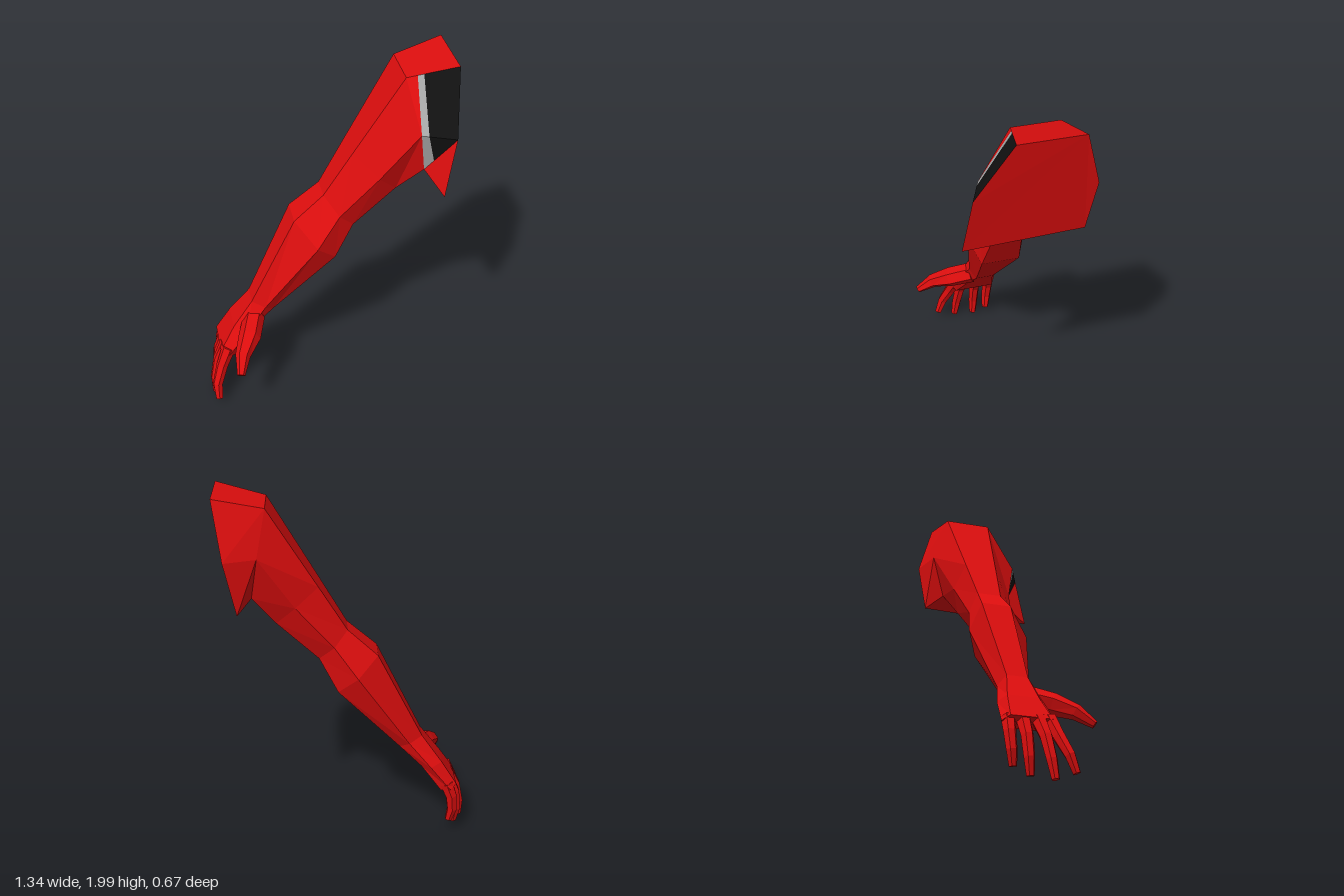
import * as THREE from 'three';

const mat = (name, color) => {
  const m = new THREE.MeshStandardMaterial({ color });
  m.name = name;
  return m;
};

// Faceted mesh from a list of convex polygons (corners counter-clockwise)
function polyMesh(name, polys, material) {
  const pos = [];
  for (const p of polys)
    for (let i = 1; i < p.length - 1; i++) pos.push(...p[0], ...p[i], ...p[i + 1]);
  const g = new THREE.BufferGeometry();
  g.setAttribute('position', new THREE.Float32BufferAttribute(pos, 3));
  g.computeVertexNormals();
  const mesh = new THREE.Mesh(g, material);
  mesh.name = name;
  return mesh;
}

// Skin a row of rings; skip(segment, side) leaves a panel open
function loft(rings, { start = false, end = false, skip = () => false } = {}) {
  const polys = [], n = rings[0].length;
  for (let s = 0; s < rings.length - 1; s++)
    for (let i = 0; i < n; i++) {
      if (skip(s, i)) continue;
      const a = rings[s], b = rings[s + 1], j = (i + 1) % n;
      polys.push([a[i], b[i], b[j], a[j]]);
    }
  if (start) polys.push(rings[0]);
  if (end) polys.push([...rings[rings.length - 1]].reverse());
  return polys;
}

// Six-sided limb section: [x, y, zFront, zBack] for its top, middle and bottom
const hex = (t, m, b) => [
  [t[0], t[1], t[3]], [t[0], t[1], t[2]], [m[0], m[1], m[2]],
  [b[0], b[1], b[2]], [b[0], b[1], b[3]], [m[0], m[1], m[3]],
];

// Six-sided rings along a path; each point is [x, y, z, halfWidth, halfDepth]
function digit(path, side) {
  const P = path.map(p => new THREE.Vector3(p[0], p[1], p[2]));
  const rings = path.map((p, k) => {
    const t = P[Math.min(k + 1, P.length - 1)].clone().sub(P[Math.max(k - 1, 0)]).normalize();
    const u = side.clone().addScaledVector(t, -side.dot(t)).normalize();
    const v = u.clone().cross(t);
    return Array.from({ length: 6 }, (_, i) => {
      const a = (i * Math.PI) / 3;
      return P[k].clone().addScaledVector(u, Math.cos(a) * p[3])
        .addScaledVector(v, Math.sin(a) * p[4]).toArray();
    });
  });
  return loft(rings, { start: true, end: true });
}

const lerp = (a, b, f) => a.map((v, i) => v + (b[i] - v) * f);

export function createModel() {
  const red = mat('red', 0xdd0e0e);
  const grey = mat('grey', 0xa8a8a8);
  const black = mat('black', 0x111111);
  const arm = new THREE.Group();
  arm.name = 'arm';

  // Limb sections from shoulder to knuckles
  const shoulder = hex([0.67, 2.0, 0.09, -0.25], [0.62, 1.7, 0.28, -0.335], [0.56, 1.39, 0.32, -0.3]);
  shoulder[4][1] = 1.41;
  const armpit = hex([0.41, 1.94, 0.04, -0.21], [0.455, 1.7, 0.21, -0.28], [0.49, 1.47, 0.17, -0.21]);
  const biceps = hex([0.15, 1.51, 0.015, -0.16], [0.27, 1.41, 0.13, -0.2], [0.37, 1.31, 0.08, -0.15]);
  const elbowTop = hex([0, 1.26, 0, -0.13], [0.07, 1.17, 0.09, -0.16], [0.15, 1.09, 0.06, -0.11]);
  const elbowLow = hex([-0.16, 1.12, 0.01, -0.15], [-0.055, 1.0, 0.13, -0.19], [0.05, 0.9, 0.08, -0.13]);
  const wrist = hex([-0.41, 0.61, 0.02, -0.09], [-0.34, 0.575, 0.05, -0.12], [-0.29, 0.54, 0.02, -0.08]);
  const palm = hex([-0.52, 0.46, 0.04, -0.12], [-0.46, 0.44, 0.1, -0.155], [-0.41, 0.43, 0.03, -0.11]);
  const knuckles = hex([-0.605, 0.325, 0.08, -0.13], [-0.57, 0.305, 0.115, -0.165], [-0.52, 0.29, 0.085, -0.14]);

  // Upper arm, left open where the painted shoulder panel goes
  arm.add(polyMesh('upperArm', loft([shoulder, armpit, biceps, elbowTop],
    { start: true, skip: (s, i) => s === 0 && (i === 1 || i === 2) }), red));
  arm.add(polyMesh('forearm', loft([elbowTop, elbowLow, wrist]), red));

  // Shoulder panel: red margins, grey stripe and black field
  const top = f => lerp(armpit[1], shoulder[1], f);
  const mid = f => lerp(armpit[2], shoulder[2], f);
  const low = armpit[3];
  const lowEdge = lerp(low, shoulder[2], 0.3);
  const panel = new THREE.Group();
  panel.name = 'shoulderPanel';
  panel.add(
    polyMesh('panelMargin', [[top(0), mid(0), top(0.21)], [mid(1), low, shoulder[3]]], red),
    polyMesh('panelStripe', [
      [top(0.21), mid(0), mid(0.21), top(0.33)],
      [mid(0), low, lowEdge, mid(0.21)],
    ], grey),
    polyMesh('panelField', [
      [top(0.33), mid(0.21), mid(1), top(1)],
      [mid(0.21), lowEdge, mid(1)],
    ], black),
  );
  arm.add(panel);

  // Hand
  const hand = new THREE.Group();
  hand.name = 'hand';
  hand.add(polyMesh('palm', loft([wrist, palm, knuckles], { end: true }), red));
  const z = new THREE.Vector3(0, 0, 1);
  const fingers = {
    indexFinger: [[-0.56, 0.34, 0.075], [-0.607, 0.24, 0.105], [-0.643, 0.14, 0.145], [-0.642, 0.055, 0.176]],
    middleFinger: [[-0.565, 0.33, 0.02], [-0.618, 0.23, 0.038], [-0.645, 0.11, 0.055], [-0.648, 0.015, 0.07]],
    ringFinger: [[-0.56, 0.33, -0.055], [-0.605, 0.23, -0.05], [-0.618, 0.12, -0.045], [-0.605, 0.035, -0.037]],
    littleFinger: [[-0.55, 0.33, -0.125], [-0.58, 0.25, -0.127], [-0.588, 0.16, -0.12], [-0.572, 0.085, -0.11]],
  };
  const widths = [0.038, 0.032, 0.028, 0.02];
  for (const [name, path] of Object.entries(fingers))
    hand.add(polyMesh(name, digit(path.map((p, i) => [...p, widths[i], widths[i] * 1.05]), z), red));

  // Thumb
  hand.add(polyMesh('thumb', digit([
    [-0.4, 0.505, 0.02, 0.06, 0.06],
    [-0.445, 0.465, 0.14, 0.062, 0.056],
    [-0.5, 0.415, 0.235, 0.042, 0.04],
    [-0.525, 0.35, 0.32, 0.022, 0.02],
  ], new THREE.Vector3(1, 0, 0)), red));
  arm.add(hand);

  return arm;
}
